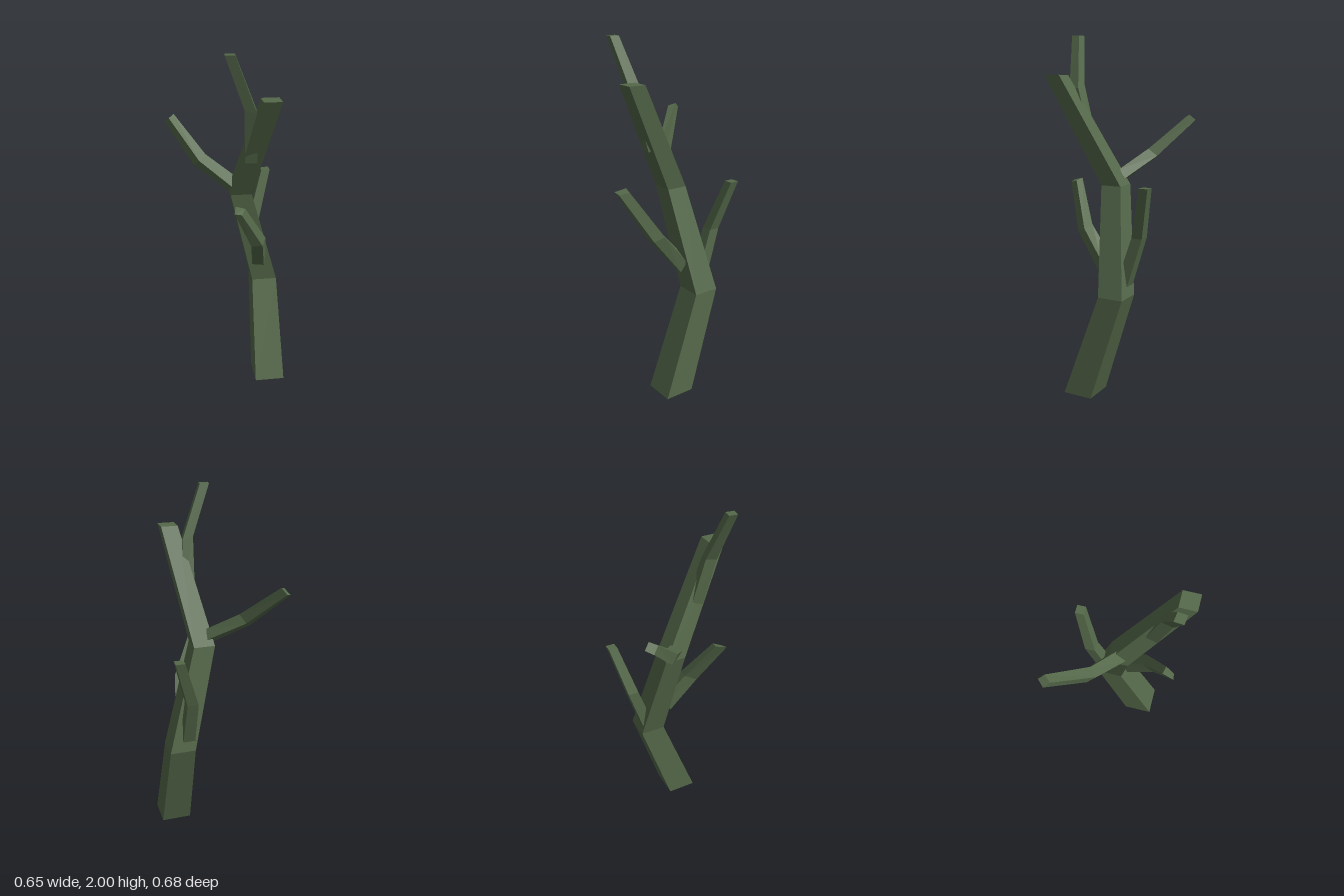
import * as THREE from 'three';

const bark = new THREE.MeshStandardMaterial({ color: 0x55694a, flatShading: true });

// Horizontal square cross-section: left, back, height and side length
const square = (x, z, y, s) => [[x, y, z + s], [x + s, y, z + s], [x + s, y, z], [x, y, z]];

// Closed four-sided limb through a list of cross-sections, base to tip
function limb(name, rings) {
  const pos = [];
  const quad = (a, b, c, d) => pos.push(...a, ...b, ...c, ...a, ...c, ...d);
  for (let r = 0; r < rings.length - 1; r++) {
    const lo = rings[r], hi = rings[r + 1];
    for (let i = 0; i < 4; i++) {
      const j = (i + 1) % 4;
      quad(lo[i], lo[j], hi[j], hi[i]);
    }
  }
  quad(...[...rings[0]].reverse());
  quad(...rings[rings.length - 1]);
  const geo = new THREE.BufferGeometry();
  geo.setAttribute('position', new THREE.Float32BufferAttribute(pos, 3));
  geo.computeVertexNormals();
  const mesh = new THREE.Mesh(geo, bark);
  mesh.name = name;
  return mesh;
}

export function createModel() {
  const tree = new THREE.Group();
  tree.name = 'bareTree';

  // Crooked tapering trunk
  tree.add(limb('trunk', [
    square(0.15, 0.005, 0, 0.173),
    square(0.155, -0.18, 0.59, 0.146),
    square(0.012, -0.08, 1.18, 0.119),
    square(0.13, 0.248, 1.78, 0.094),
  ]));

  // Low branch rising behind the trunk
  tree.add(limb('backBranch', [
    square(0.155, -0.172, 0.65, 0.07),
    square(0.155, -0.255, 0.92, 0.062),
    square(0.241, -0.323, 1.205, 0.051),
  ]));

  // Low branch reaching forward
  tree.add(limb('frontBranch', [
    [[0.145, 0.72, 0.01], [0.215, 0.71, 0.01], [0.23, 0.77, -0.02], [0.16, 0.80, -0.03]],
    [[0.11, 0.92, 0.17], [0.175, 0.915, 0.165], [0.2, 0.94, 0.11], [0.13, 0.955, 0.10]],
    [[-0.005, 1.18, 0.30], [0.035, 1.17, 0.295], [0.06, 1.185, 0.245], [0.01, 1.195, 0.235]],
  ]));

  // Middle branch spreading to the right and back
  tree.add(limb('rightBranch', [
    [[0.05, 1.215, -0.065], [0.01, 1.18, -0.02], [0.02, 1.225, 0.025], [0.05, 1.265, -0.03]],
    [[-0.135, 1.33, -0.175], [-0.175, 1.305, -0.135], [-0.15, 1.345, -0.09], [-0.11, 1.37, -0.13]],
    [[-0.292, 1.53, -0.342], [-0.325, 1.515, -0.308], [-0.302, 1.545, -0.275], [-0.272, 1.56, -0.31]],
  ]));

  // Highest branch
  tree.add(limb('topBranch', [
    [[0.07, 1.41, 0.165], [0.135, 1.41, 0.17], [0.14, 1.43, 0.105], [0.075, 1.43, 0.1]],
    [[0.05, 1.72, 0.245], [0.115, 1.70, 0.25], [0.12, 1.71, 0.19], [0.06, 1.73, 0.185]],
    [[-0.055, 2, 0.297], [-0.005, 2, 0.304], [0, 2, 0.255], [-0.05, 2, 0.248]],
  ]));

  return tree;
}
